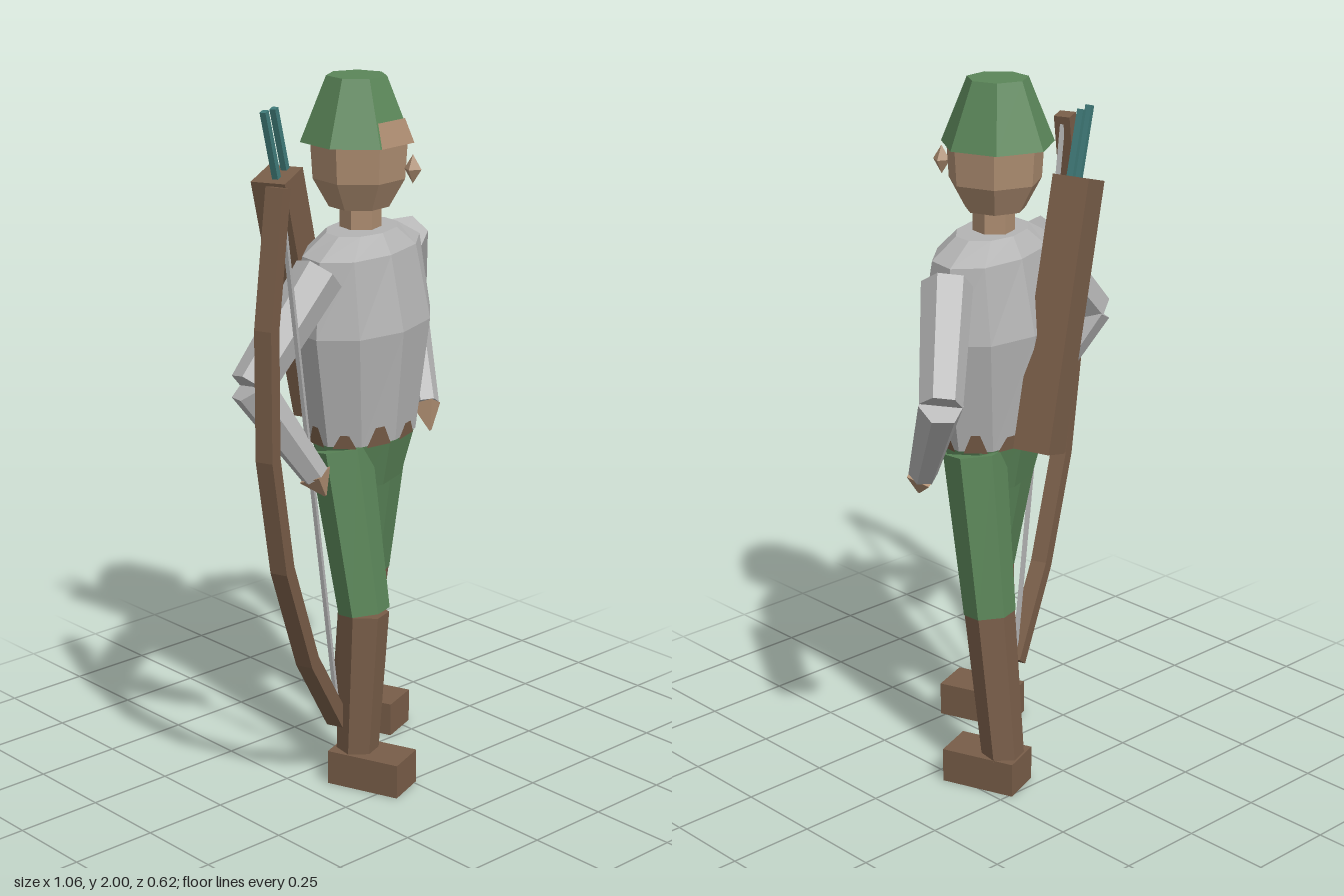
import * as THREE from 'three';

const TURN = 0.35; // the whole figure stands turned a little to its left
const FORWARD = new THREE.Vector3(Math.sin(TURN), 0, Math.cos(TURN));
const V = (p) => new THREE.Vector3(...p);

export function createModel() {
  const model = new THREE.Group();
  model.name = 'archer';
  const material = (name, color) => Object.assign(new THREE.MeshStandardMaterial({ color }), { name });
  const green = material('clothGreen', 0x5b8659);
  const grey = material('tunicGrey', 0xb4b4b4);
  const brown = material('leatherBrown', 0x785d48);
  const skin = material('skin', 0xac8c70);
  const teal = material('arrowTeal', 0x3f7a78);

  // Adds a mesh with faceted normals
  function add(name, geometry, mat, position = [0, 0, 0], turn = 0) {
    const flat = geometry.index ? geometry.toNonIndexed() : geometry;
    flat.computeVertexNormals();
    const mesh = new THREE.Mesh(flat, mat);
    mesh.name = name;
    mesh.position.set(...position);
    mesh.rotation.y = turn;
    model.add(mesh);
    return mesh;
  }

  // Point on an elliptical ring [y, half width, half depth]
  const ringPoint = ([y, a, b], angle) => [a * Math.cos(angle), y, b * Math.sin(angle)];

  // Closed solid from stacked rings, bottom to top
  function loft(rings, n, phase = 0) {
    const pos = [];
    const tri = (...pts) => pts.forEach((p) => pos.push(...p));
    const at = (j, i) => ringPoint(rings[j], phase + (i * 2 * Math.PI) / n);
    const last = rings.length - 1;
    for (let i = 0; i < n; i++) {
      for (let j = 0; j < last; j++) {
        tri(at(j, i), at(j + 1, i), at(j, i + 1));
        tri(at(j, i + 1), at(j + 1, i), at(j + 1, i + 1));
      }
      tri([0, rings[0][0], 0], at(0, i), at(0, i + 1));
      tri([0, rings[last][0], 0], at(last, i + 1), at(last, i));
    }
    return polygon(pos);
  }

  function polygon(pos) {
    const g = new THREE.BufferGeometry();
    g.setAttribute('position', new THREE.Float32BufferAttribute(pos, 3));
    return g;
  }

  // Tapered prism between two points, squared to the body's front
  function strut(name, mat, from, to, r0, r1, sides = 6) {
    const a = V(from), b = V(to);
    const axis = b.clone().sub(a);
    const g = new THREE.CylinderGeometry(r1, r0, axis.length(), sides, 1, false, Math.PI / sides);
    const up = axis.normalize();
    const side = new THREE.Vector3().crossVectors(up, FORWARD).normalize();
    const front = new THREE.Vector3().crossVectors(side, up);
    g.applyMatrix4(new THREE.Matrix4().makeBasis(side, up, front));
    const mid = a.add(b).multiplyScalar(0.5);
    return add(name, g, mat, mid.toArray());
  }

  // Head, neck and nose
  const phase = 0.105;
  add('head', loft([[1.64, 0.085, 0.085], [1.72, 0.13, 0.13], [1.83, 0.137, 0.137]], 7, phase), skin, [0.04, 0, -0.01]);
  strut('neck', skin, [0.045, 1.55, -0.01], [0.045, 1.66, -0.01], 0.058, 0.058);
  const nose = new THREE.OctahedronGeometry(1);
  nose.scale(0.026, 0.04, 0.026);
  add('nose', nose, skin, [0.092, 1.757, 0.148], TURN);

  // Hat with the forehead showing through its front panel
  const brim = [1.82, 0.158, 0.158], crown = [2, 0.085, 0.085];
  const hatCentre = [0.038, 0, -0.018];
  add('hat', loft([brim, crown], 7, phase), green, hatCentre);
  const gap = [1.886, 0.1313, 0.1313];
  const [a1, a2] = [1, 2].map((i) => phase + (i * 2 * Math.PI) / 7);
  const corners = [ringPoint(brim, a1), ringPoint(gap, a1), ringPoint(brim, a2), ringPoint(gap, a2)];
  add('forehead', polygon([0, 1, 2, 2, 1, 3].flatMap((i) => corners[i])), skin, [0.039, 0.001, -0.013]);

  // Tunic
  const hem = [1.0, 0.207, 0.145], chest = [1.32, 0.272, 0.18];
  const torsoCentre = [0.042, 0, 0];
  const torsoRings = [hem, chest, [1.53, 0.25, 0.135], [1.58, 0.14, 0.09]];
  add('tunic', loft(torsoRings, 10), grey, torsoCentre, TURN);

  // Leather showing between the tatters of the hem
  const tatters = [];
  const scale = 1.012;
  const high = [1.05, 0.2172 * scale, 0.1505 * scale], low = [0.995, 0.207 * scale, 0.145 * scale];
  for (let i = 0; i < 10; i++) {
    const onSide = (ring, t) => {
      const p = V(ringPoint(ring, (i * Math.PI) / 5));
      return p.lerp(V(ringPoint(ring, ((i + 1) * Math.PI) / 5)), t).toArray();
    };
    const top = i % 2 ? high : [1.035, high[1] - 0.002, high[2] - 0.001];
    const p = [onSide(low, 0.15), onSide(top, 0.35), onSide(low, 0.85), onSide(top, 0.6)];
    for (const k of [0, 1, 2, 2, 1, 3]) tatters.push(...p[k]);
  }
  add('hemTatters', polygon(tatters), brown, torsoCentre, TURN);

  // Hips
  add('hips', loft([[0.86, 0.15, 0.105], [0.995, 0.2, 0.138]], 8, Math.PI / 8), green, torsoCentre, TURN);

  // Legs: hip, knee, ankle and foot centres, right leg forward
  const legs = {
    right: [[-0.085, 0.98, 0.05], [-0.08, 0.515, 0.142], [-0.1, 0.09, 0.137], [-0.086, 0.05, 0.183]],
    left: [[0.165, 0.98, -0.058], [0.172, 0.515, -0.125], [0.178, 0.09, -0.185], [0.193, 0.05, -0.135]],
  };
  for (const [side, [hip, knee, ankle, foot]] of Object.entries(legs)) {
    strut(side + 'Thigh', green, knee, hip, 0.073, 0.088);
    strut(side + 'BootShaft', brown, ankle, knee, 0.06, 0.071);
    add(side + 'Foot', new THREE.BoxGeometry(0.125, 0.1, 0.22), brown, foot, TURN);
  }

  // Arms: shoulder, elbow, wrist and fingertip
  const arms = {
    right: [[-0.19, 1.5, 0.08], [-0.44, 1.235, 0.085], [-0.28, 0.97, 0.16], [-0.258, 0.91, 0.178]],
    left: [[0.305, 1.5, -0.105], [0.475, 1.24, -0.265], [0.385, 0.98, -0.09], [0.365, 0.91, -0.05]],
  };
  for (const [side, [shoulder, elbow, wrist, tip]] of Object.entries(arms)) {
    strut(side + 'UpperArm', grey, elbow, shoulder, 0.058, 0.07);
    strut(side + 'Forearm', grey, wrist, elbow, 0.04, 0.06);
    strut(side + 'Hand', skin, tip, wrist, 0.004, 0.047, 4);
  }

  // Bow: centre line offset to both sides, extruded
  const line = [[0.067, 1.79], [0, 1.43], [0, 1.08], [0.072, 0.75], [0.21, 0.435], [0.39, 0.185]]
    .map((p) => new THREE.Vector2(...p));
  const edge = (sign) => line.map((p, i) => {
    const t = line[Math.min(i + 1, 5)].clone().sub(line[Math.max(i - 1, 0)]).normalize();
    return new THREE.Vector2(p.x - t.y * sign * 0.022, p.y + t.x * sign * 0.022);
  });
  const outline = new THREE.Shape([...edge(1), ...edge(-1).reverse()]);
  const bow = new THREE.ExtrudeGeometry(outline, { depth: 0.05, bevelEnabled: false });
  bow.translate(0, 0, -0.025);
  add('bow', bow, brown, [-0.508, 0, 0.232], TURN);
  strut('bowString', grey, [-0.145, 0.22, 0.1], [-0.435, 1.77, 0.207], 0.008, 0.008, 4);

  // Quiver and arrows on the back
  strut('quiver', brown, [0.075, 1.0, -0.22], [-0.125, 1.725, -0.165], 0.076, 0.076, 4);
  for (const [x, z] of [[-0.19, -0.14], [-0.136, -0.162]]) {
    strut('arrow', teal, [x + 0.06, 1.68, z - 0.01], [x, 1.91, z], 0.013, 0.013, 4);
  }
  return model;
}
